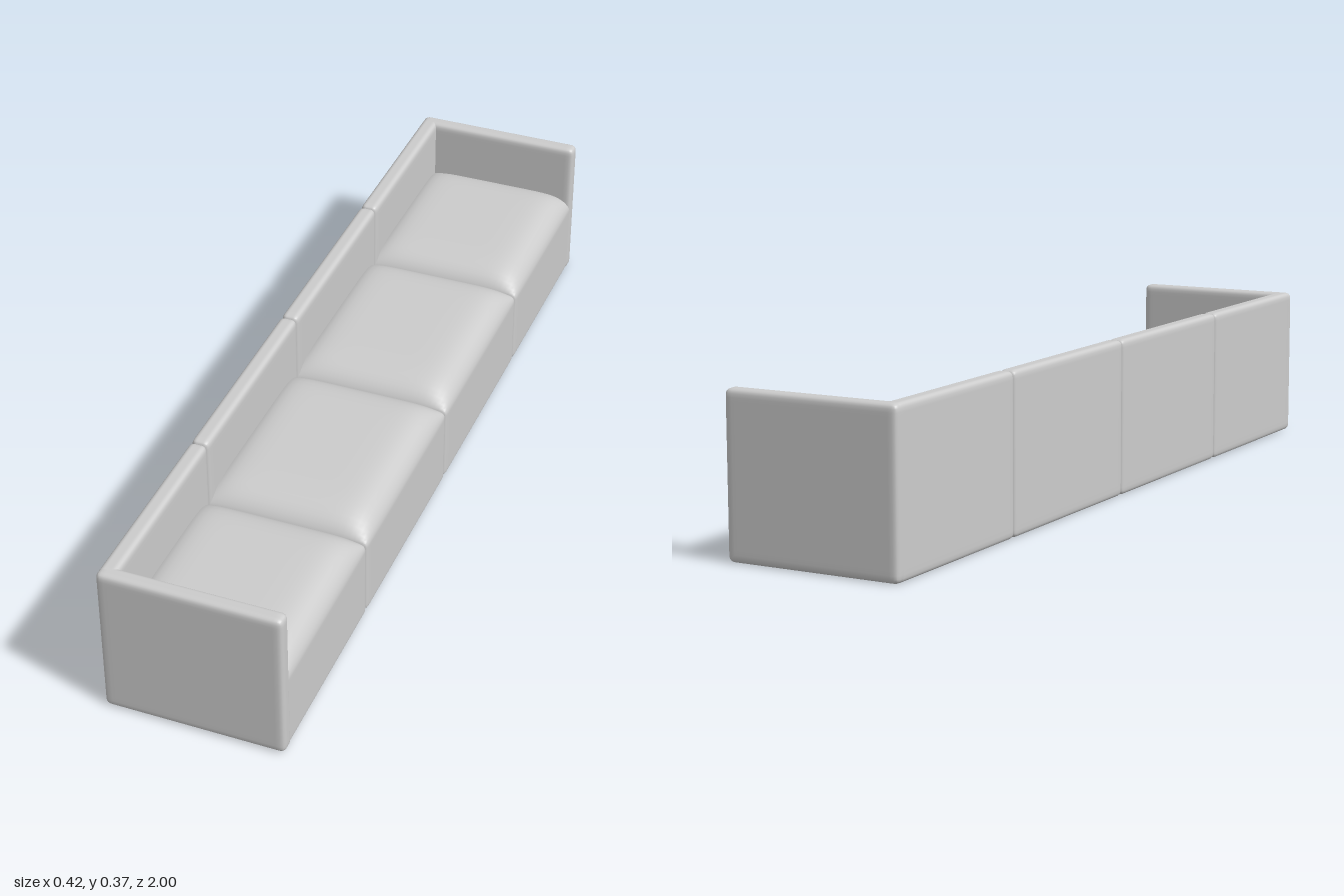
import * as THREE from 'three';
import { mergeVertices } from 'three/addons/utils/BufferGeometryUtils.js';

const material = new THREE.MeshStandardMaterial({ color: 0xcccccc });

// Rounded upholstered block between two corners, with an optional pillow crown on top
function softBlock(name, min, max, radius, crown = 0, n = 28) {
  const geo = new THREE.BoxGeometry(2, 2, 2, n, n, n);
  geo.deleteAttribute('normal');
  geo.deleteAttribute('uv');
  const lo = new THREE.Vector3(...min), hi = new THREE.Vector3(...max);
  const centre = lo.clone().add(hi).multiplyScalar(0.5);
  const half = hi.clone().sub(lo).multiplyScalar(0.5);
  const inner = half.clone().subScalar(radius);
  const pos = geo.attributes.position;
  const p = new THREE.Vector3(), core = new THREE.Vector3();
  // gather the grid lines towards the edges
  const ease = (t) => Math.sin(t * Math.PI / 2);

  for (let i = 0; i < pos.count; i++) {
    p.fromBufferAttribute(pos, i);
    p.set(ease(p.x), ease(p.y), ease(p.z)).multiply(half);
    core.copy(p).clamp(inner.clone().negate(), inner);
    p.sub(core).setLength(radius).add(core);
    if (crown && p.y > 0) {
      const u = Math.abs(p.x / half.x), v = Math.abs(p.z / half.z);
      p.y += crown * (1 - u ** 8) * (1 - v ** 8) * (p.y / half.y) ** 2;
    }
    p.add(centre);
    pos.setXYZ(i, p.x, p.y, p.z);
  }
  const smooth = mergeVertices(geo, 1e-5);
  smooth.computeVertexNormals();
  const mesh = new THREE.Mesh(smooth, material);
  mesh.name = name;
  return mesh;
}

export function createModel() {
  const sofa = new THREE.Group();
  sofa.name = 'modularSofa';
  const seams = [-0.99, -0.517, 0, 0.517, 0.99];

  // Four modules in a row, each with a seat and a backrest panel
  for (let i = 0; i < 4; i++) {
    const unit = new THREE.Group();
    unit.name = `module${i + 1}`;
    const z0 = seams[i], z1 = seams[i + 1];
    unit.add(
      softBlock('seat', [-0.2, 0.001, z0], [0.208, 0.197, z1], 0.012, 0.046),
      softBlock('backrest', [-0.21, 0, z0], [-0.168, 0.37, z1], 0.013),
    );
    sofa.add(unit);
  }

  // Armrest panels closing both ends
  for (const s of [-1, 1]) {
    const z = [s, s * 0.96].sort((a, b) => a - b);
    sofa.add(softBlock(s > 0 ? 'armrestFront' : 'armrestRear',
      [-0.21, 0, z[0]], [0.21, 0.37, z[1]], 0.014));
  }
  return sofa;
}
